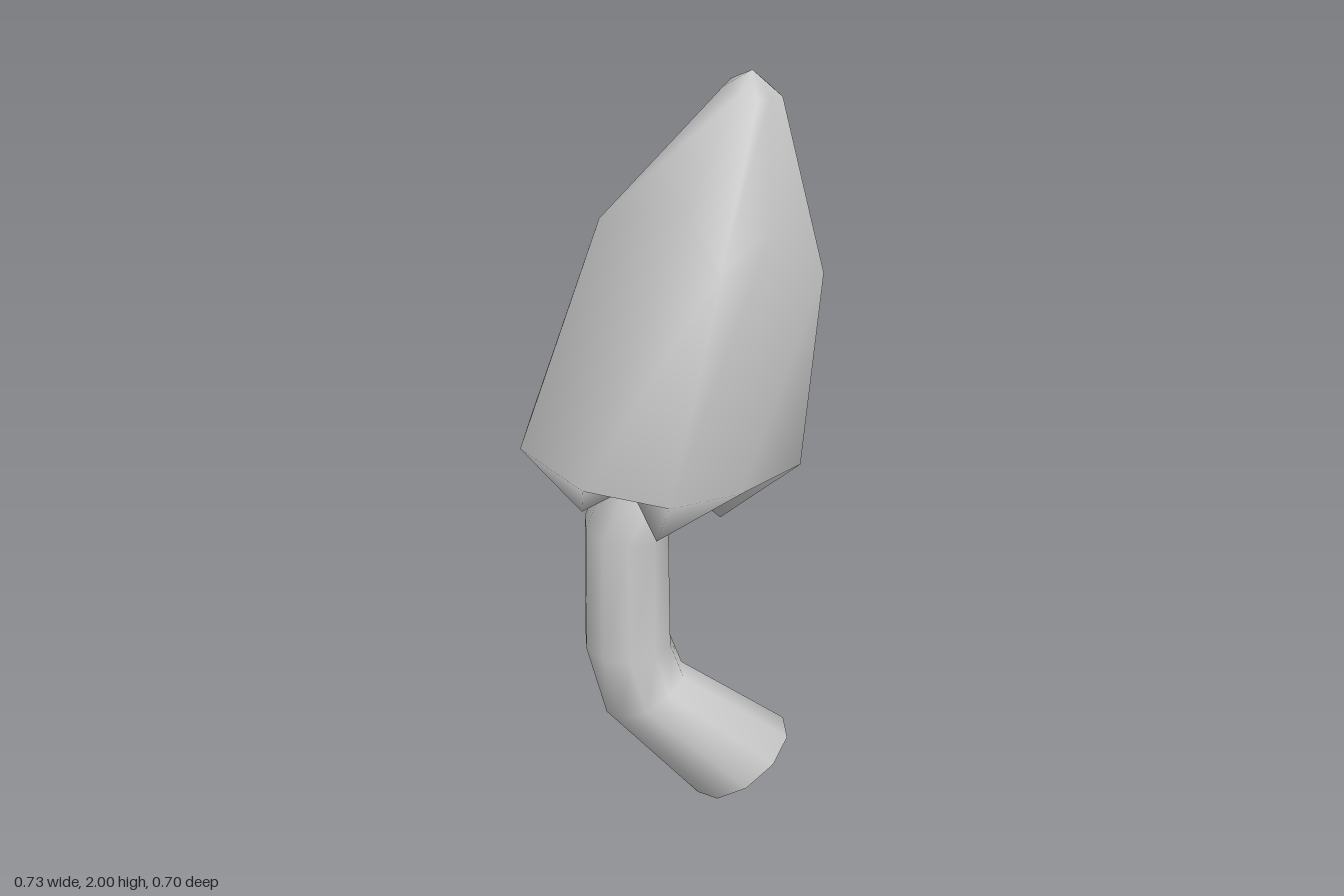
import * as THREE from 'three';

// Skin a list of rings (top to bottom, each running from +x towards +z), closed at both ends
function loft(rings, topPoint) {
  const n = rings[0].length;
  const centre = (ring) => [0, 1, 2].map((k) => ring.reduce((s, p) => s + p[k], 0) / n);
  const points = rings.flat();
  const top = points.push(topPoint || centre(rings[0])) - 1;
  const bottom = points.push(centre(rings[rings.length - 1])) - 1;
  const index = [];
  for (let j = 0; j < n; j++) {
    const k = (j + 1) % n;
    index.push(top, k, j);
    for (let i = 0; i < rings.length - 1; i++) {
      const a = i * n + j, b = i * n + k;
      index.push(a, b, b + n, a, b + n, a + n);
    }
    const last = (rings.length - 1) * n;
    index.push(bottom, last + j, last + k);
  }
  const geometry = new THREE.BufferGeometry();
  geometry.setAttribute('position', new THREE.Float32BufferAttribute(points.flat(), 3));
  geometry.setIndex(index);
  geometry.computeVertexNormals();
  return geometry;
}

const mix = (p, q, t) => p.map((v, k) => v + (q[k] - v) * t);

// Turn five petal points into ten by adding the seams between them,
// each seam drawn part of the way towards another ring and then lowered
function withSeams(ring, target = ring, t = 0, drop = 0) {
  return ring.flatMap((p, i) => {
    const k = (i + 1) % ring.length;
    const seam = mix(mix(p, ring[k], 0.5), mix(target[i], target[k], 0.5), t);
    seam[1] -= drop;
    return [p, seam];
  });
}

// Closed bud: five petals leaning to one side
function budGeometry() {
  const crown = [[0.265, 1.94, 0], [0.2, 1.95, 0.06], [0.125, 1.97, 0.01], [0.15, 1.97, -0.055], [0.235, 1.955, -0.07]];
  const shoulder = [[0.365, 1.53, 0.07], [0.1, 1.61, 0.27], [-0.165, 1.68, 0.07], [-0.06, 1.65, -0.25], [0.262, 1.65, -0.25]];
  const belly = [
    [0.325, 1.02, 0.07], [0.16, 1.04, 0.25], [-0.02, 1.06, 0.35], [-0.22, 1.06, 0.25], [-0.367, 1.1, 0.095],
    [-0.34, 1.08, -0.125], [-0.235, 1.08, -0.315], [-0.03, 1.06, -0.352], [0.19, 1.05, -0.315], [0.325, 1.02, -0.065],
  ];
  const tips = [[0.13, 0.86, 0.04], [-0.04, 0.87, 0.17], [-0.22, 0.9, 0.06], [-0.13, 0.88, -0.16], [0.09, 0.86, -0.17]];
  const throat = tips.map(([x, , z]) => [-0.02 + (x + 0.02) * 0.55, 1.04, z * 0.55]);
  return loft([
    withSeams(crown), withSeams(shoulder, crown, 0.33, 0.035), belly, withSeams(tips, throat, 0.6), withSeams(throat),
  ], [0.195, 2, -0.018]);
}

// Bent stalk: each ring has a right edge, a left edge and a half-depth
function stalkGeometry() {
  const sections = [
    { right: [0.1, 0.97], left: [-0.13, 1.04], depth: 0.1 },
    { right: [0.0, 0.8], left: [-0.21, 0.83], depth: 0.115 },
    { right: [0.005, 0.47], left: [-0.215, 0.47], depth: 0.118 },
    { right: [0.04, 0.37], left: [-0.165, 0.27], depth: 0.122 },
    { right: [0.32, 0.17], left: [0.08, 0], depth: 0.152 },
  ];
  const sides = 10;
  const flat = Math.cos(Math.PI / sides); // the flats face left and right
  return loft(sections.map(({ right, left, depth }) => Array.from({ length: sides }, (_, j) => {
    const a = ((j + 0.5) / sides) * Math.PI * 2, c = Math.cos(a) / 2 / flat;
    return [
      (right[0] + left[0]) / 2 + (right[0] - left[0]) * c,
      (right[1] + left[1]) / 2 + (right[1] - left[1]) * c,
      -0.014 + depth * Math.sin(a),
    ];
  })));
}

export function createModel() {
  const group = new THREE.Group();
  group.name = 'flowerBud';
  const material = new THREE.MeshStandardMaterial({ color: 0xcccccc });
  const parts = { petals: budGeometry(), stalk: stalkGeometry() };
  for (const [name, geometry] of Object.entries(parts)) {
    const mesh = new THREE.Mesh(geometry, material);
    mesh.name = name;
    group.add(mesh);
  }
  return group;
}
